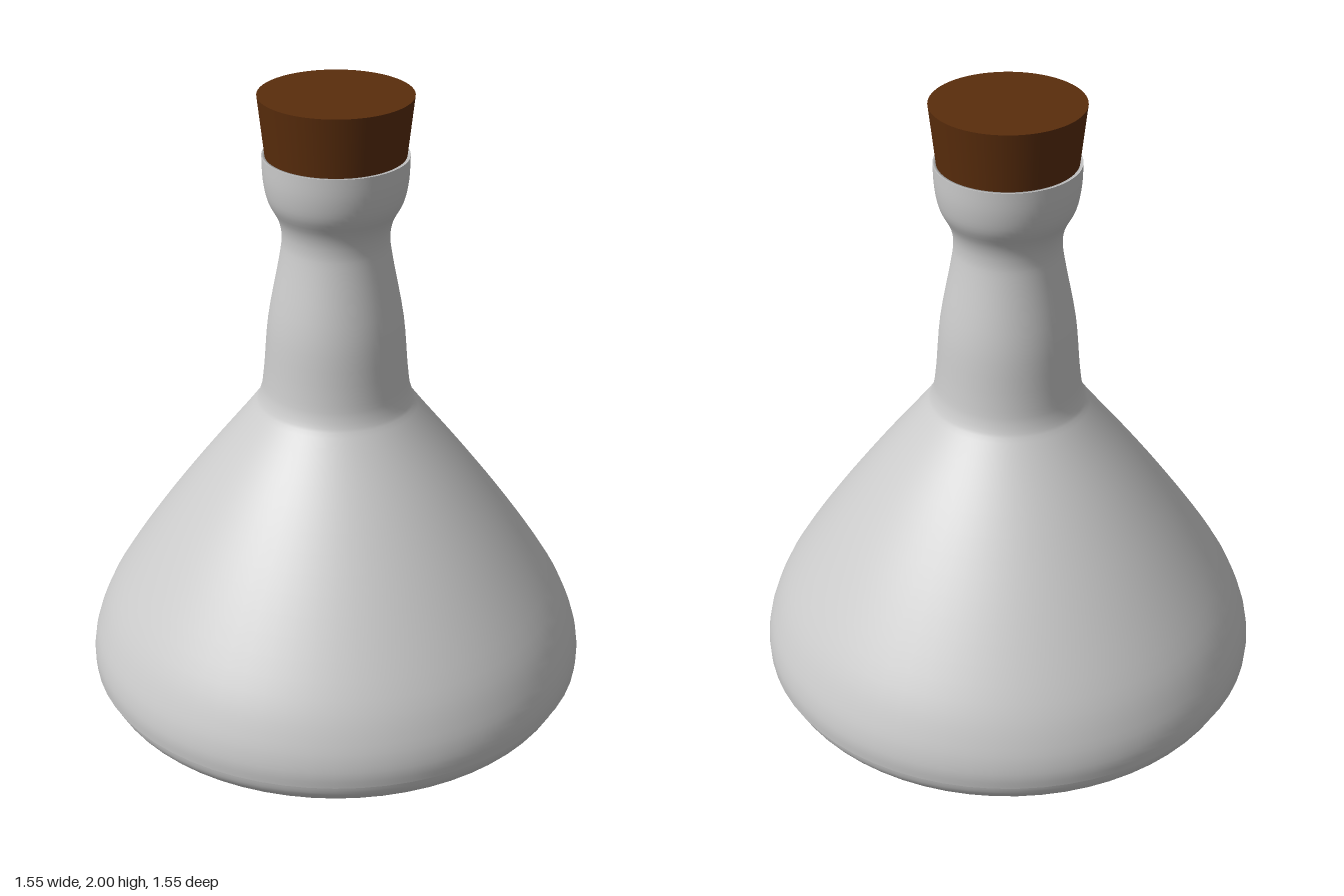
import * as THREE from 'three';

const SEGMENTS = 64;
const points = (list) => list.map(([r, y]) => new THREE.Vector2(r, y));
const smooth = (list, n) => new THREE.SplineCurve(points(list)).getPoints(n);

function lathe(name, profile, material) {
  const mesh = new THREE.Mesh(new THREE.LatheGeometry(profile, SEGMENTS), material);
  mesh.name = name;
  return mesh;
}

export function createModel() {
  const group = new THREE.Group();
  group.name = 'stopperedFlask';
  const glass = new THREE.MeshStandardMaterial({ color: 0xcccccc, side: THREE.DoubleSide });
  const cork = new THREE.MeshStandardMaterial({ color: 0x5a2d0c });

  // Conical body, waisted neck and cupped mouth
  const bodyProfile = smooth([
    [0.772, 0.145], [0.774, 0.2], [0.755, 0.28], [0.7, 0.4], [0.57, 0.6],
    [0.425, 0.8], [0.27, 1.0], [0.232, 1.06], [0.218, 1.14], [0.203, 1.31],
    [0.168, 1.5], [0.16, 1.57], [0.17, 1.625], [0.2, 1.685], [0.213, 1.75], [0.216, 1.82],
  ], 60);
  group.add(lathe('body', bodyProfile, glass));

  // Thin rim turning into the mouth
  group.add(lathe('rim', points([[0.216, 1.82], [0.205, 1.82], [0.202, 1.76]]), glass));

  // Rounded base, slightly inset under the body
  const baseProfile = [
    new THREE.Vector2(0, 0),
    ...smooth([[0.35, 0.01], [0.55, 0.024], [0.66, 0.043], [0.72, 0.07], [0.75, 0.105], [0.76, 0.145]], 20),
  ];
  group.add(lathe('base', baseProfile, glass));
  group.add(lathe('baseLip', points([[0.76, 0.145], [0.772, 0.145]]), glass));

  // Tapered stopper seated in the mouth
  const stopper = new THREE.Mesh(new THREE.CylinderGeometry(0.227, 0.193, 0.3, SEGMENTS), cork);
  stopper.name = 'stopper';
  stopper.position.y = 1.85;
  group.add(stopper);

  return group;
}
